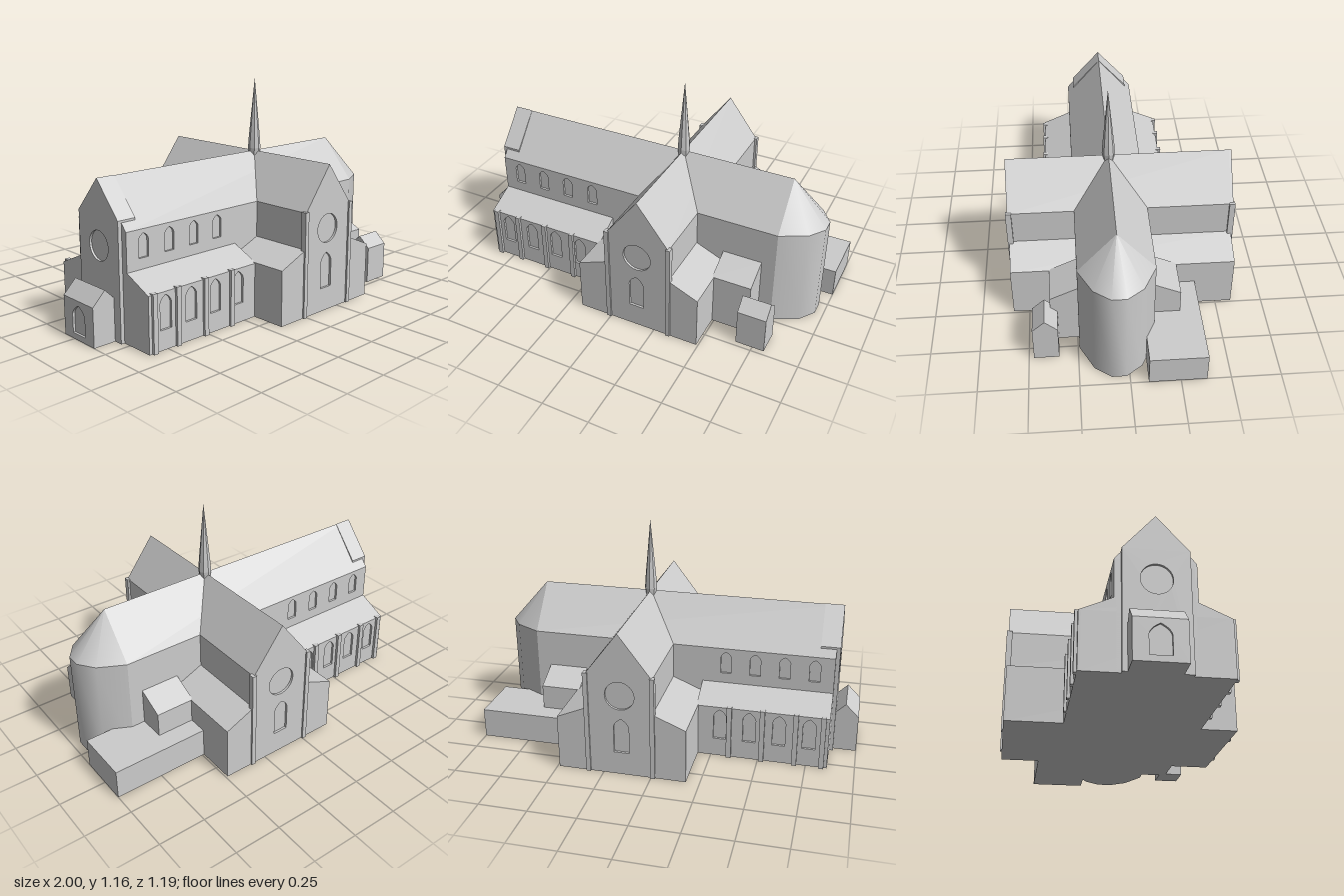
import * as THREE from 'three';
import { toCreasedNormals } from 'three/addons/utils/BufferGeometryUtils.js';

const stone = new THREE.MeshStandardMaterial({ color: 0xcccccc });
stone.name = 'stone';

const AXIS_Z = 0.053; // centre line of nave and choir
const CROSS_X = 0.16; // centre line of transept
const RECESS = 0.012; // depth of window niches

function mesh(parent, name, geometry, x = 0, y = 0, z = 0) {
  const m = new THREE.Mesh(geometry, stone);
  m.name = name;
  m.position.set(x, y, z);
  parent.add(m);
  return m;
}

function box(parent, name, x0, x1, y0, y1, z0, z1) {
  return mesh(parent, name, new THREE.BoxGeometry(x1 - x0, y1 - y0, z1 - z0),
    (x0 + x1) / 2, (y0 + y1) / 2, (z0 + z1) / 2);
}

function outline(points, holes = []) {
  const s = new THREE.Shape(points.map(p => new THREE.Vector2(...p)));
  s.holes.push(...holes);
  return s;
}

// Profile in x,y swept from z0 to z1
function alongZ(parent, name, shape, z0, z1) {
  const g = new THREE.ExtrudeGeometry(shape, { depth: z1 - z0, bevelEnabled: false, curveSegments: 16 });
  return mesh(parent, name, g, 0, 0, z0);
}

// Profile in z,y swept from x0 to x1
function alongX(parent, name, shape, x0, x1) {
  const g = new THREE.ExtrudeGeometry(shape, { depth: x1 - x0, bevelEnabled: false, curveSegments: 16 });
  g.rotateY(-Math.PI / 2);
  return mesh(parent, name, g, x1, 0, 0);
}

// Pointed window opening
function lancet(x, w, y0, spring, top) {
  const p = new THREE.Path();
  const h = w / 2, mid = spring + (top - spring) * 0.6;
  p.moveTo(x - h, y0);
  p.lineTo(x + h, y0);
  p.lineTo(x + h, spring);
  p.quadraticCurveTo(x + h * 0.85, mid, x, top);
  p.quadraticCurveTo(x - h * 0.85, mid, x - h, spring);
  p.closePath();
  return p;
}

function rose(x, y, r) {
  const p = new THREE.Path();
  p.absarc(x, y, r, 0, Math.PI * 2);
  return p;
}

const rect = (a, b, c, d) => [[a, c], [b, c], [b, d], [a, d]];
const gable = (c, h, eaves, top) => [[c - h, 0], [c + h, 0], [c + h, eaves], [c, top], [c - h, eaves]];

export function createModel() {
  const church = new THREE.Group();
  church.name = 'church';

  // Nave, choir and apse share one centre line
  const nave = new THREE.Group();
  nave.name = 'naveAndChoir';
  nave.position.z = AXIS_Z;
  church.add(nave);
  const W = -0.86, E = -0.17, APSE = 0.762;

  alongX(nave, 'naveCore', outline(rect(-0.19 + RECESS, 0.19 - RECESS, 0, 0.55)), W, E);
  alongX(nave, 'aisleCore', outline(rect(-0.345 + RECESS, 0.345 - RECESS, 0, 0.285)), W, E);
  alongX(nave, 'choirWalls', outline(rect(-0.19, 0.19, 0, 0.55)), E, APSE);
  alongX(nave, 'mainRoof', outline([[-0.19, 0.55], [0.19, 0.55], [0, 0.775]]), W, APSE);
  alongX(nave, 'choirAisles', outline([[-0.33, 0], [0.33, 0], [0.33, 0.29],
    [0.19, 0.357], [-0.19, 0.357], [-0.33, 0.29]]), 0.48, 0.69);
  alongX(nave, 'aisleRoof', outline([[-0.345, 0.285], [0.345, 0.285], [0.19, 0.355], [-0.19, 0.355]]), W, E);

  // Windowed wall skins and buttresses on both sides
  const bays = [-0.76, -0.605, -0.45, -0.295];
  for (const side of [1, -1]) {
    const skin = (name, out, y0, y1, holes) => {
      const z0 = side > 0 ? out - RECESS : -out;
      alongZ(nave, name, outline(rect(W, E, y0, y1), holes), z0, z0 + RECESS);
    };
    skin('aisleWall', 0.345, 0, 0.285, bays.map(x => lancet(x, 0.067, 0.1, 0.23, 0.27)));
    skin('clerestoryWall', 0.19, 0.355, 0.55, bays.map(x => lancet(x, 0.056, 0.41, 0.5, 0.53)));
    for (const x of [-0.83, -0.69, -0.518, -0.345]) {
      const b = side * 0.345;
      box(nave, 'aisleButtress', x - 0.013, x + 0.013, 0, 0.293, b - 0.014, b + 0.014);
    }
  }

  // West front with round window
  const front = gable(0, 0.157, 0.6, 0.777);
  alongX(nave, 'westFrontCore', outline(front), -0.88 + RECESS, -0.78);
  alongX(nave, 'westFrontWall', outline(front, [rose(0, 0.45, 0.075)]), -0.88, -0.88 + RECESS);

  // Apse: rounded wall with half-cone roof
  const plan = [[APSE, 0.19], [0.897, 0.12], [0.957, 0.037], [0.957, -0.037], [0.897, -0.12], [APSE, -0.19]];
  const wall = new THREE.ExtrudeGeometry(outline(plan), { depth: 0.55, bevelEnabled: false });
  wall.rotateX(-Math.PI / 2);
  mesh(nave, 'apseWall', toCreasedNormals(wall, 0.75));
  const tri = [];
  for (let i = 0; i < plan.length - 1; i++) {
    const [a, b] = [plan[i], plan[i + 1]];
    tri.push(APSE, 0.775, 0, a[0], 0.55, a[1], b[0], 0.55, b[1]);
  }
  const cone = new THREE.BufferGeometry();
  cone.setAttribute('position', new THREE.Float32BufferAttribute(tri, 3));
  mesh(nave, 'apseRoof', toCreasedNormals(cone, 0.75));

  // Transept with lean-to sides
  const transept = new THREE.Group();
  transept.name = 'transept';
  church.add(transept);
  const L = CROSS_X - 0.17, R = CROSS_X + 0.17;
  const section = [[-0.18, 0], [0.49, 0], [0.49, 0.29], [R, 0.36], [R, 0.55],
    [CROSS_X, 0.775], [L, 0.55], [L, 0.36], [-0.18, 0.29]];
  const END = 0.585;
  alongZ(transept, 'transeptCore', outline(section), -END + RECESS, END - RECESS);
  for (const side of [1, -1]) {
    const z0 = side > 0 ? END - RECESS : -END;
    alongZ(transept, 'transeptEndWall', outline(section,
      [rose(0.157, 0.443, 0.076), lancet(0.152, 0.08, 0.125, 0.268, 0.315)]), z0, z0 + RECESS);
    for (const x of [L, R]) {
      const z = side * 0.579;
      box(transept, 'transeptButtress', x - 0.012, x + 0.012, 0, 0.555, z - 0.015, z + 0.015);
    }
  }

  // Octagonal spire over the crossing
  const profile = [[0.024, 0.72], [0.034, 0.79], [0.03, 0.85], [0.0005, 1.165]];
  const spire = new THREE.LatheGeometry(profile.map(p => new THREE.Vector2(...p)), 8).toNonIndexed();
  spire.computeVertexNormals();
  mesh(church, 'spire', spire, CROSS_X, 0, AXIS_Z);

  // West porch with a recessed doorway
  const porch = new THREE.Group();
  porch.name = 'porch';
  church.add(porch);
  const P = -1 + RECESS;
  alongZ(porch, 'porchBody', outline([[P, 0], [-0.87, 0], [-0.87, 0.21], [-0.93, 0.27], [P, 0.212]]), -0.08, 0.162);
  alongX(porch, 'porchDoorWall', outline(rect(-0.08, 0.162, 0, 0.2),
    [lancet(0.041, 0.1, 0.03, 0.125, 0.175)]), -1, P);
  alongZ(porch, 'porchEaves', outline([[-1, 0.2], [P, 0.2], [P, 0.212]]), -0.08, 0.162);

  // Outbuildings by the choir
  alongX(church, 'gabledShed', outline(gable(0.411, 0.064, 0.2, 0.26)), 0.66, 0.812);
  box(church, 'flatAnnex', 0.48, 1, 0, 0.16, -0.38, -0.09);

  return church;
}
